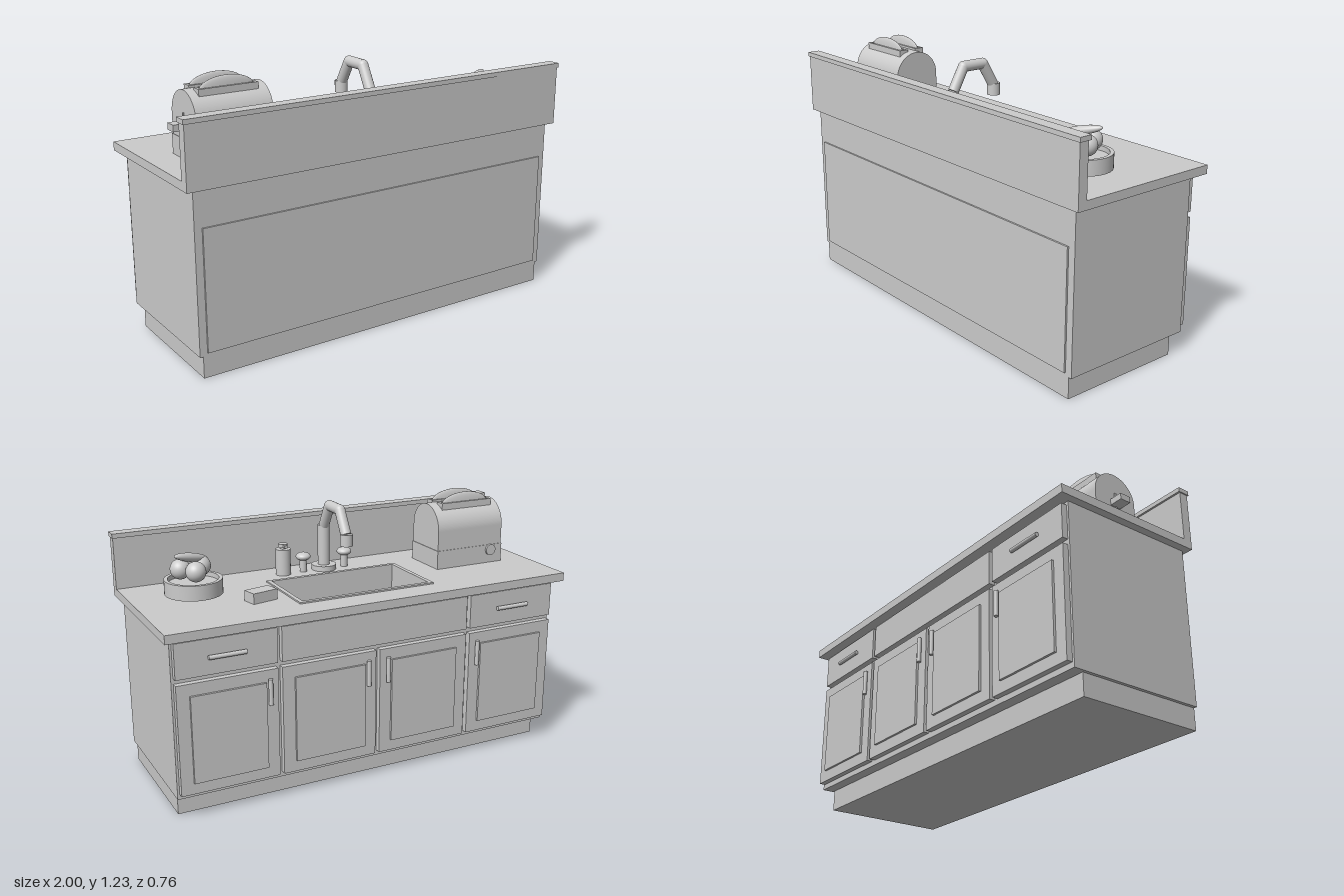
import * as THREE from 'three';

const grey = new THREE.MeshStandardMaterial({ color: 0xcccccc });

export function createModel() {
  const root = new THREE.Group();

  const add = (name, geo, x = 0, y = 0, z = 0) => {
    const m = new THREE.Mesh(geo, grey);
    m.name = name;
    m.position.set(x, y, z);
    root.add(m);
    return m;
  };
  // Box given by its limits on each axis
  const box = (name, x0, x1, y0, y1, z0, z1) =>
    add(name, new THREE.BoxGeometry(x1 - x0, y1 - y0, z1 - z0), (x0 + x1) / 2, (y0 + y1) / 2, (z0 + z1) / 2);
  // Upright cylinder from y0 to y1
  const post = (name, r, x, z, y0, y1, rTop = r) =>
    add(name, new THREE.CylinderGeometry(rTop, r, y1 - y0, 32), x, (y0 + y1) / 2, z);
  // Ellipsoid
  const ball = (name, x, y, z, rx, ry = rx, rz = rx) => {
    const m = add(name, new THREE.SphereGeometry(1, 32, 20), x, y, z);
    m.scale.set(rx, ry, rz);
    return m;
  };
  // Cylinder between two points
  const rod = (name, r, a, b) => {
    const d = b.clone().sub(a);
    const m = add(name, new THREE.CylinderGeometry(r, r, d.length(), 24));
    m.position.copy(a).add(b).multiplyScalar(0.5);
    m.quaternion.setFromUnitVectors(new THREE.Vector3(0, 1, 0), d.normalize());
    return m;
  };
  // Horizontal slab with a rectangular opening; limits are [x0, x1, z0, z1]
  const trace = (path, [x0, x1, z0, z1]) =>
    path.moveTo(x0, -z1).lineTo(x1, -z1).lineTo(x1, -z0).lineTo(x0, -z0).closePath();
  const frame = (name, outer, inner, y0, y1) => {
    const s = trace(new THREE.Shape(), outer);
    s.holes.push(trace(new THREE.Path(), inner));
    const g = new THREE.ExtrudeGeometry(s, { depth: y1 - y0, bevelEnabled: false });
    return add(name, g.rotateX(-Math.PI / 2), 0, y0, 0);
  };
  const V = (x, y, z) => new THREE.Vector3(x, y, z);

  // Cabinet, worktop and splashback
  const bowl = [-0.32, 0.32, -0.23, 0.105], well = [-0.33, 0.33, -0.24, 0.115];
  const top = 0.875;
  box('plinth', -0.945, 0.945, 0, 0.1, -0.26, 0.35);
  frame('cabinetBody', [-0.96, 0.96, -0.315, 0.35], well, 0.1, 0.835);
  box('rearPanel', -0.925, 0.925, 0.115, 0.67, 0.35, 0.358);
  frame('worktop', [-0.995, 0.995, -0.378, 0.373], well, 0.835, top);
  box('splashback', -0.995, 0.995, top, 1.115, 0.328, 0.373);
  box('splashbackCap', -1, 1, 1.115, 1.136, 0.318, 0.378);

  // Sink
  frame('sinkRim', [-0.34, 0.34, -0.25, 0.125], bowl, top, 0.882);
  frame('sinkWalls', well, bowl, 0.69, top);
  box('sinkFloor', -0.33, 0.33, 0.68, 0.69, -0.24, 0.115);
  post('drain', 0.03, 0, -0.06, 0.69, 0.693);

  // Doors and drawers, mirrored left and right
  for (const s of [-1, 1]) {
    for (const [cx, hx] of [[0.24, 0.05], [0.72, 0.53]]) {
      const x = s * cx;
      box('door', x - 0.23, x + 0.23, 0.125, 0.635, -0.343, -0.315);
      box('doorPanel', x - 0.172, x + 0.172, 0.178, 0.58, -0.354, -0.343);
      rod('doorHandle', 0.01, V(s * hx, 0.475, -0.353), V(s * hx, 0.595, -0.353));
    }
    const x = s * 0.72;
    box('drawerFront', x - 0.23, x + 0.23, 0.66, 0.82, -0.343, -0.315);
    rod('drawerHandle', 0.01, V(x - 0.085, 0.74, -0.353), V(x + 0.085, 0.74, -0.353));
  }
  box('sinkFront', -0.47, 0.47, 0.66, 0.82, -0.343, -0.315);

  // Faucet made of straight pipe pieces
  const fz = 0.214;
  post('faucetBase', 0.06, 0, fz, top, 0.9);
  post('faucetPost', 0.029, 0, fz, 0.9, 1.095);
  const pipe = [[0.207, 1.095], [0.149, 1.2], [0.039, 1.2], [-0.023, 1.095]].map(([z, y]) => V(0, y, z));
  for (let i = 0; i < 3; i++) rod('faucetPipe', 0.025, pipe[i], pipe[i + 1]);
  for (const p of pipe.slice(1, 3)) ball('faucetElbow', p.x, p.y, p.z, 0.025);
  post('faucetTip', 0.03, 0, -0.027, 1.045, 1.1);

  // Taps
  for (const x of [-0.11, 0.11]) {
    post('tapStem', 0.017, x, fz, top, 0.945);
    ball('tapKnob', x, 0.95, fz, 0.036, 0.02, 0.036);
  }

  // Soap dispenser
  post('soapBottle', 0.036, 0.215, fz, top, 1.0);
  post('soapNeck', 0.012, 0.215, fz, 1.0, 1.012);
  post('soapPump', 0.022, 0.215, fz, 1.008, 1.025);
  box('soapSpout', 0.207, 0.223, 1.01, 1.023, 0.175, fz);

  // Sponge
  box('sponge', 0.405, 0.531, top, 0.923, -0.152, -0.08).rotation.y = 0.215;

  // Fruit bowl: straight sides, shallow recess and a small foot
  const bowlProfile = [[0, 0.875], [0.06, 0.875], [0.06, 0.888], [0.131, 0.888], [0.131, 0.957],
    [0.114, 0.957], [0.114, 0.935], [0, 0.935]];
  for (let i = 0; i < bowlProfile.length - 1; i++) {
    const pts = bowlProfile.slice(i, i + 2).map(p => new THREE.Vector2(...p));
    add('fruitBowl', new THREE.LatheGeometry(pts, 40), 0.71, 0, 0.08);
  }
  for (const [x, z] of [[0.713, 0.03], [0.66, 0.118], [0.76, 0.105]]) ball('orange', x, 0.998, z, 0.046);
  const banana = ball('banana', 0.71, 1.048, 0.095, 0.1, 0.02, 0.024);
  banana.quaternion.setFromUnitVectors(V(1, 0, 0), V(0.17, 0.045, -0.075).normalize());

  // Toaster: arched body on a base
  const tz = 0.065, r = 0.117;
  box('toasterBase', -0.853, -0.482, top, 0.965, tz - 0.12, tz + 0.12);
  const arch = new THREE.Shape();
  arch.moveTo(-r, 0.96).lineTo(r, 0.96).lineTo(r, 1.06);
  arch.absarc(0, 1.06, r, 0, Math.PI, false);
  arch.closePath();
  const body = new THREE.ExtrudeGeometry(arch, { depth: 0.365, bevelEnabled: false, curveSegments: 32 });
  add('toasterBody', body.rotateY(Math.PI / 2), -0.85, 0, tz);
  for (const z of [0.018, 0.11]) {
    frame('toasterSlot', [-0.81, -0.53, z - 0.024, z + 0.024], [-0.797, -0.543, z - 0.014, z + 0.014], 1.14, 1.185);
    ball('toast', -0.67, 1.172, z, 0.13, 0.056, 0.014);
  }
  box('toasterLever', -0.913, -0.85, 1.01, 1.04, 0.037, 0.093);
  box('toasterLeverTrack', -0.855, -0.849, 0.975, 1.08, 0.06, 0.07);
  rod('toasterDial', 0.027, V(-0.785, 0.94, -0.05), V(-0.785, 0.94, -0.065));

  return root;
}
